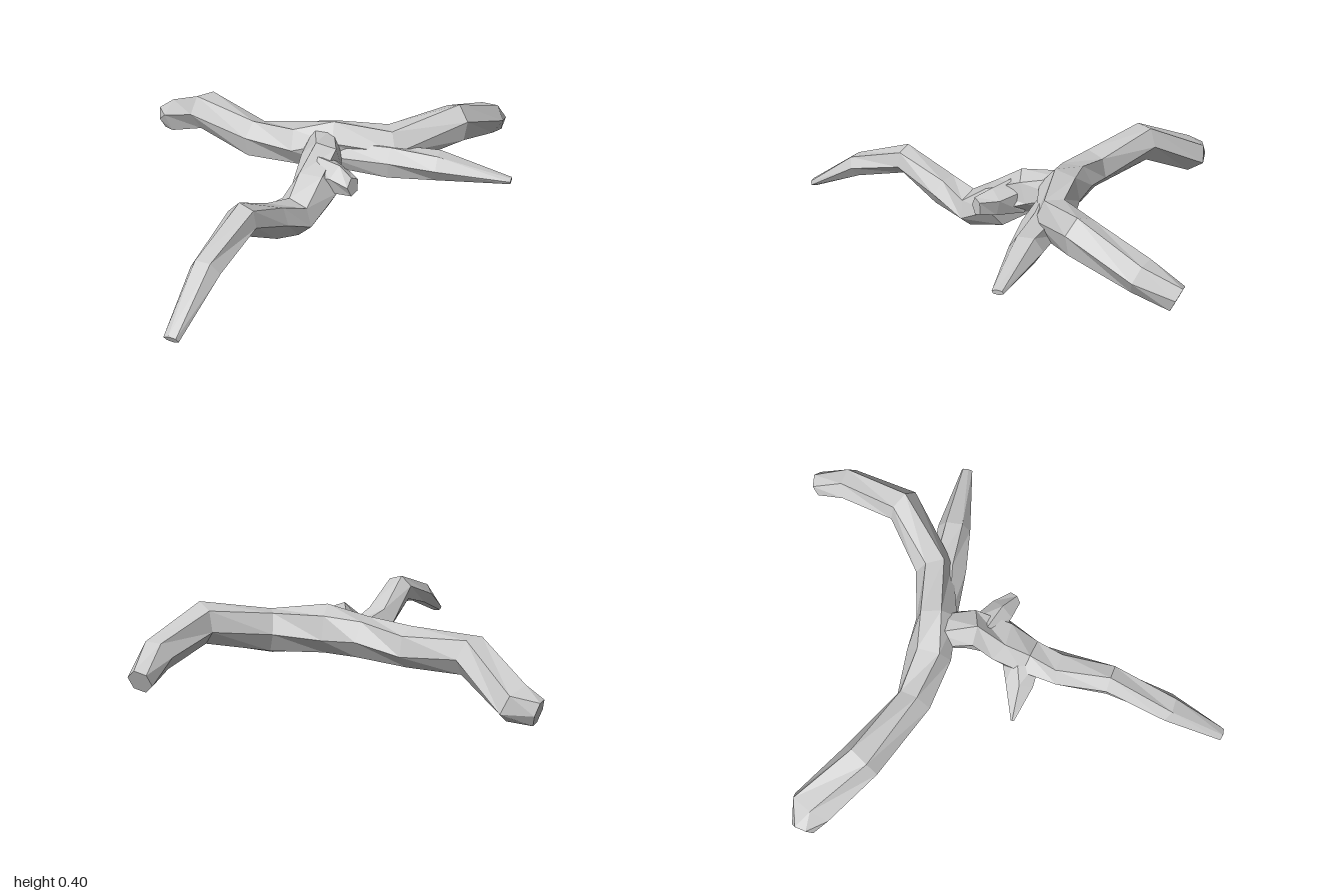
import * as THREE from 'three';

const material = new THREE.MeshStandardMaterial({ color: 0xcccccc, flatShading: true });
const UP = new THREE.Vector3(0, 1, 0);

// Faceted limb lofted through stations [x, y, z, half width, half height]
function limb(name, stations, sides = 6, twist = 0.3) {
  const centres = stations.map(s => new THREE.Vector3(s[0], s[1], s[2]));
  const last = centres.length - 1;
  const rings = stations.map(([, , , w, h], i) => {
    const ahead = centres[Math.min(i + 1, last)].clone().sub(centres[i]).normalize();
    const behind = centres[i].clone().sub(centres[Math.max(i - 1, 0)]).normalize();
    const along = ahead.add(behind).normalize();
    const side = along.clone().cross(UP).normalize();
    const up = side.clone().cross(along);
    return Array.from({ length: sides }, (_, k) => {
      const a = (k / sides) * Math.PI * 2 + (i % 2 ? twist : 0);
      return centres[i].clone()
        .addScaledVector(side, Math.cos(a) * w)
        .addScaledVector(up, Math.sin(a) * h);
    });
  });
  const points = [];
  for (let k = 0; k < sides; k++) {
    const n = (k + 1) % sides;
    for (let i = 0; i < last; i++) {
      const a = rings[i], b = rings[i + 1];
      points.push(a[k], b[k], a[n], a[n], b[k], b[n]);
    }
    // End caps
    points.push(centres[0], rings[0][k], rings[0][n]);
    points.push(centres[last], rings[last][n], rings[last][k]);
  }
  const geometry = new THREE.BufferGeometry().setFromPoints(points);
  geometry.computeVertexNormals();
  const mesh = new THREE.Mesh(geometry, material);
  mesh.name = name;
  return mesh;
}

export function createModel() {
  const model = new THREE.Group();
  model.name = 'driftwoodBranch';

  // Long curved trunk, from the back end round to the left end
  model.add(limb('trunk', [
    [-0.46, 0.095, -0.925, 0.05, 0.06],
    [-0.40, 0.12, -0.85, 0.105, 0.085],
    [-0.35, 0.245, -0.57, 0.093, 0.09],
    [-0.22, 0.21, -0.25, 0.085, 0.092],
    [-0.07, 0.23, -0.09, 0.10, 0.095],
    [0.06, 0.255, 0.02, 0.095, 0.11],
    [0.28, 0.245, 0.13, 0.085, 0.10],
    [0.59, 0.31, 0.14, 0.08, 0.095],
    [0.84, 0.235, -0.01, 0.078, 0.075],
    [0.945, 0.165, -0.12, 0.055, 0.06],
  ]));

  // Tapering side branch at the front left
  model.add(limb('frontSpur', [
    [0.03, 0.22, 0.03, 0.06, 0.07],
    [0.25, 0.20, 0.185, 0.085, 0.075],
    [0.42, 0.205, 0.31, 0.075, 0.065],
    [0.665, 0.178, 0.517, 0.026, 0.012],
  ]));

  // Long arched branch reaching to the front right
  model.add(limb('archedBranch', [
    [0.02, 0.24, -0.02, 0.08, 0.09],
    [-0.055, 0.235, 0.13, 0.09, 0.10],
    [-0.13, 0.16, 0.235, 0.105, 0.105],
    [-0.26, 0.095, 0.325, 0.09, 0.085],
    [-0.39, 0.145, 0.415, 0.08, 0.075],
    [-0.56, 0.25, 0.545, 0.068, 0.07],
    [-0.77, 0.165, 0.725, 0.065, 0.055],
    [-0.965, 0.018, 0.91, 0.032, 0.018],
  ]));

  // Short broken stub on the arched branch
  model.add(limb('brokenStub', [
    [-0.08, 0.20, 0.17, 0.08, 0.09],
    [-0.04, 0.215, 0.30, 0.06, 0.065],
    [-0.015, 0.215, 0.38, 0.032, 0.045],
  ], 5));

  // Pointed twig touching the ground behind the arched branch
  model.add(limb('groundTwig', [
    [-0.24, 0.10, 0.30, 0.10, 0.08],
    [-0.34, 0.06, 0.225, 0.065, 0.05],
    [-0.458, 0.006, 0.125, 0.008, 0.006],
  ], 5));

  return model;
}
